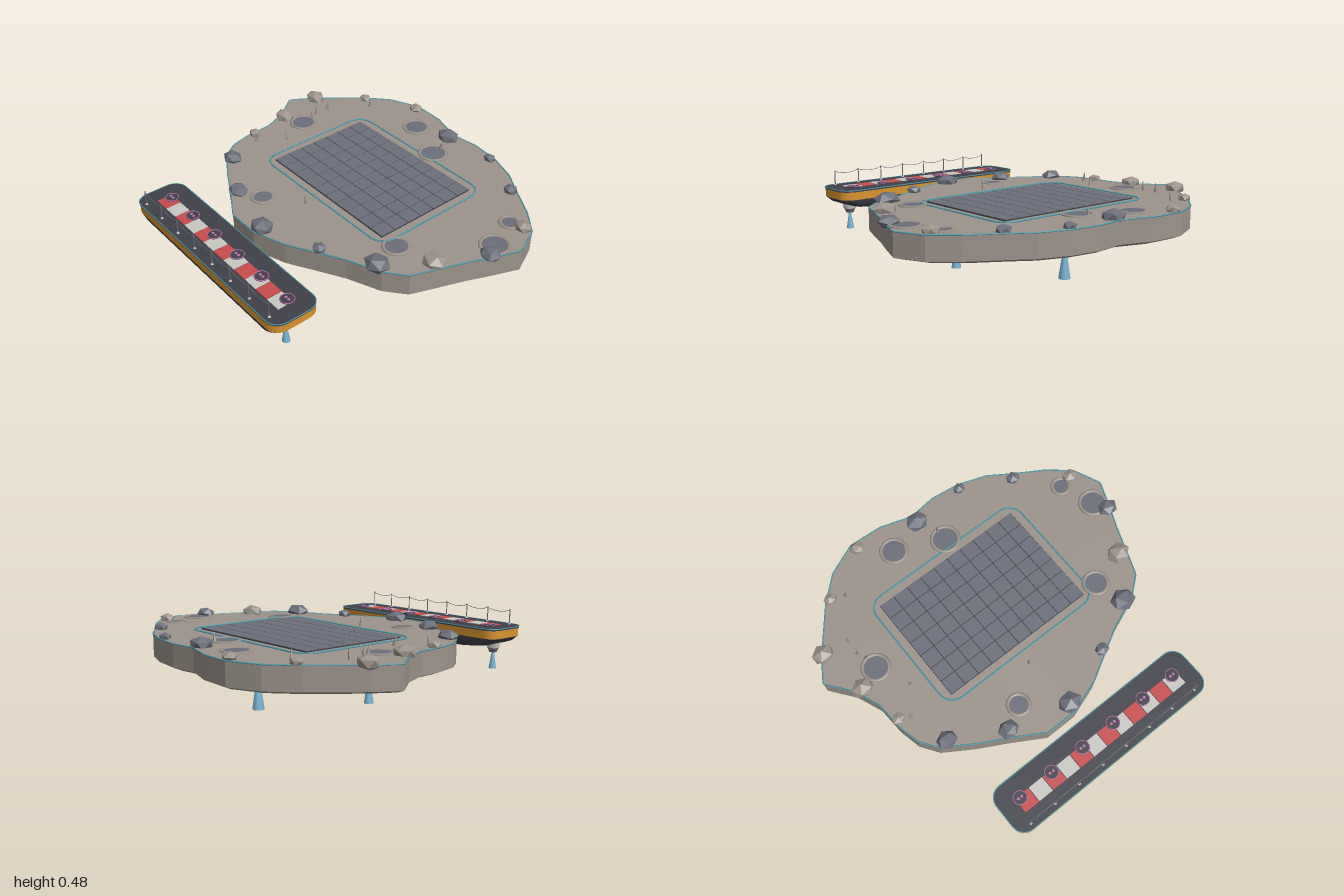
import * as THREE from 'three';
import { toCreasedNormals } from 'three/addons/utils/BufferGeometryUtils.js';

const colour = (name, hex) => {
  const m = new THREE.MeshStandardMaterial({ color: hex });
  m.name = name;
  return m;
};

export function createModel() {
  const stone = colour('warm stone', 0x9c938b);
  const slate = colour('slate grey', 0x6c6f7a);
  const dark = colour('dark hull', 0x3f3f49);
  const orange = colour('orange band', 0xd8932e);
  const teal = colour('teal trim', 0x4c9dac);
  const red = colour('red panel', 0xc94b4b);
  const white = colour('pale panel', 0xc9c8c3);
  const flame = colour('blue flame', 0x78b2d2);
  const pink = colour('pink light', 0xc870b4);

  const model = new THREE.Group();
  const group = (name) => {
    const g = new THREE.Group();
    g.name = name;
    model.add(g);
    return g;
  };
  const add = (parent, name, geo, mat, x = 0, y = 0, z = 0) => {
    const m = new THREE.Mesh(geo, mat);
    m.name = name;
    m.position.set(x, y, z);
    parent.add(m);
    return m;
  };

  // Closed solid from one outline, scaled about a centre at each [scale, y] level, top to bottom
  const loft = (outline, cx, cz, levels, crease) => {
    const n = outline.length, pos = [], idx = [];
    levels.forEach(([s, y]) => outline.forEach(([x, z]) => pos.push(cx + (x - cx) * s, y, cz + (z - cz) * s)));
    const last = (levels.length - 1) * n, top = levels.length * n;
    pos.push(cx, levels[0][1], cz, cx, levels[levels.length - 1][1], cz);
    for (let i = 0; i < n; i++) {
      const j = (i + 1) % n;
      for (let k = 0; k < last; k += n) idx.push(k + i, k + j, k + n + j, k + i, k + n + j, k + n + i);
      idx.push(top, j, i, top + 1, last + i, last + j);
    }
    const g = new THREE.BufferGeometry();
    g.setAttribute('position', new THREE.Float32BufferAttribute(pos, 3));
    g.setIndex(idx);
    return toCreasedNormals(g, crease);
  };
  const roundedRect = (cx, cz, hx, hz, r) => {
    const pts = [];
    for (let c = 0; c < 4; c++) {
      const sx = c === 0 || c === 3 ? -1 : 1, sz = c < 2 ? -1 : 1;
      for (let k = 0; k <= 6; k++) {
        const a = Math.PI + (c + k / 6) * Math.PI / 2;
        pts.push([cx + sx * (hx - r) + r * Math.cos(a), cz + sz * (hz - r) + r * Math.sin(a)]);
      }
    }
    return pts;
  };
  const trim = (parent, name, outline, y, r) => {
    const path = new THREE.CatmullRomCurve3(outline.map(([x, z]) => new THREE.Vector3(x, y, z)), true, 'catmullrom', 0);
    add(parent, name, new THREE.TubeGeometry(path, 240, r, 5, true), teal);
  };
  let seed = 7;
  const rand = () => (seed = (seed * 16807) % 2147483647) / 2147483647;

  // Floating rock slab
  const island = group('island');
  const shore = [[-1, -.37], [-.92, -.5], [-.72, -.75], [-.58, -.88], [-.4, -.96], [-.2, -.95], [-.01, -.89],
    [.155, -.91], [.33, -.89], [.5, -.83], [.62, -.75], [.8, -.64], [.93, -.53], [1, -.37], [.945, -.23],
    [.88, -.08], [.82, .08], [.77, .21], [.66, .3], [.475, .375], [.33, .455], [.17, .545], [-.02, .61],
    [-.21, .61], [-.38, .51], [-.555, .415], [-.72, .31], [-.79, .21], [-.82, .08], [-.83, -.08], [-.89, -.225]];
  add(island, 'rockSlab', loft(shore, 0, -.17,
    [[1, .388], [1, .26], [.94, .24], [.76, .213], [.52, .19], [.3, .184]], .02), stone);
  trim(island, 'shoreTrim', shore, .388, .004);

  // Tiled landing pad
  const pad = group('landingPad');
  const step = .0945;
  add(pad, 'padBase', new THREE.BoxGeometry(step * 10, .008, step * 7), dark, -.0175, .39, -.2125);
  for (let i = 0; i < 10; i++) for (let j = 0; j < 7; j++)
    add(pad, 'padTile', new THREE.BoxGeometry(step - .005, .006, step - .005), slate,
      -.0175 + (i - 4.5) * step, .394, -.2125 + (j - 3) * step);
  trim(pad, 'padTrim', roundedRect(-.0175, -.215, .522, .38, .09), .391, .005);

  // Craters: raised rim with a grey floor
  const craters = group('craters');
  [[-.225, -.775, .085], [.053, -.65, .09], [-.72, -.267, .085], [.8, -.497, .062], [.877, -.295, .088],
    [.555, .107, .08], [-.24, .39, .07]].forEach(([x, z, r]) => {
    const rim = add(craters, 'craterRim', new THREE.TorusGeometry(r - .011, .011, 6, 28), stone, x, .389, z);
    rim.rotation.x = -Math.PI / 2;
    rim.scale.z = .7;
    add(craters, 'craterFloor', new THREE.CylinderGeometry(r - .019, r - .019, .006, 28), slate, x, .388, z);
  });

  // Boulders around the shore
  const boulders = group('boulders');
  const rocks = (mat, list) => list.forEach(([x, z, r]) => {
    const g = new THREE.IcosahedronGeometry(r, 0);
    g.rotateX(rand() * 3).rotateY(rand() * 6);
    g.scale(1.05, .62, .9);
    add(boulders, 'boulder', toCreasedNormals(g, .02), mat, x, .4, z);
  });
  rocks(stone, [[-.38, -.92, .045], [-.684, -.753, .04], [-.904, -.508, .065], [.882, -.513, .05],
    [-.845, -.214, .064], [-.797, .048, .04], [.775, .048, .07]]);
  rocks(slate, [[-.01, -.84, .07], [.316, -.86, .038], [.61, -.716, .044], [.92, -.214, .06], [-.663, .305, .06],
    [.604, .283, .074], [.32, .433, .043], [-.37, .465, .06], [-.016, .556, .07]]);

  // Thin leaning stone spikes
  const spikes = group('spikes');
  [[-.6, -.72], [-.75, -.49], [-.75, -.395], [-.727, -.342], [-.636, -.07], [-.733, .075], [-.043, .24], [.053, -.72]]
    .forEach(([x, z]) => {
      const s = add(spikes, 'spike', toCreasedNormals(new THREE.ConeGeometry(.012, .065, 5), .02), stone, x, .418, z);
      s.rotation.set((rand() - .5) * .4, 0, (rand() - .5) * .5);
    });

  // Thrusters: tapered nozzle with a flaring flame
  const thrusters = group('thrusters');
  const thruster = (x, z, top, bottom, r, tip, flameR, mat) => {
    add(thrusters, 'nozzle', new THREE.CylinderGeometry(r, r * .65, top - bottom, 12), mat, x, (top + bottom) / 2, z);
    add(thrusters, 'flame', new THREE.CylinderGeometry(flameR * .3, flameR, bottom - tip, 12), flame, x, (bottom + tip) / 2, z);
  };
  thruster(-.39, -.02, .192, .16, .042, .03, .027, slate);
  thruster(.36, -.02, .192, .16, .042, .03, .027, slate);
  thruster(-.015, -.49, .194, .16, .052, 0, .034, slate);

  // Long barge in front of the slab
  const barge = group('barge');
  const bx = -.015, bz = .8125;
  const rim = roundedRect(bx, bz, .66, .1425, .075);
  add(barge, 'deck', loft(rim, bx, bz, [[1, .393], [1, .383]], .6), dark);
  add(barge, 'sideBand', loft(rim, bx, bz, [[.995, .384], [.995, .336]], .6), orange);
  add(barge, 'hull', loft(rim, bx, bz,
    [[.985, .34], [.985, .33], [.94, .306], [.84, .284], [.66, .268], [.4, .258], [.15, .255]], .7), dark);
  trim(barge, 'deckTrim', rim, .392, .003);
  for (let i = 0; i < 4; i++) {
    const x = -.563 + i * .3643;
    add(barge, 'nozzleCollar', new THREE.CylinderGeometry(.042, .036, .035, 12), white, x, .281, .815);
    thruster(x, .815, .265, .237, .034, .14, .022, slate);
  }

  // Red and pale runner along the deck
  for (let i = 0; i < 12; i++)
    add(barge, 'runnerPanel', new THREE.BoxGeometry(.09, .005, .09), i % 2 ? white : red, -.532 + i * .0942, .394, .82);

  // Round light pads
  for (let i = 0; i < 6; i++) {
    const x = -.551 + i * .2139, z = .787;
    add(barge, 'lightPad', new THREE.CylinderGeometry(.04, .04, .006, 20), dark, x, .396, z);
    const ring = add(barge, 'lightRing', new THREE.TorusGeometry(.037, .0025, 5, 24), pink, x, .399, z);
    ring.rotation.x = -Math.PI / 2;
    for (const s of [-1, 1])
      add(barge, 'lightDot', new THREE.CylinderGeometry(.008, .008, .004, 8), pink, x + s * .011, .4, z);
  }

  // Rope railing on the outer edge
  const railing = group('railing');
  for (let i = 0; i < 8; i++) {
    const x = -.59 + i * .1643, z = .925;
    add(railing, 'post', new THREE.CylinderGeometry(.003, .003, .09, 6), slate, x, .437, z);
    add(railing, 'postFoot', new THREE.CylinderGeometry(.005, .009, .008, 8), white, x, .396, z);
    if (i === 7) continue;
    const rope = new THREE.QuadraticBezierCurve3(new THREE.Vector3(x, .476, z),
      new THREE.Vector3(x + .082, .448, z), new THREE.Vector3(x + .1643, .476, z));
    add(railing, 'rope', new THREE.TubeGeometry(rope, 10, .0018, 5), slate);
  }
  return model;
}
